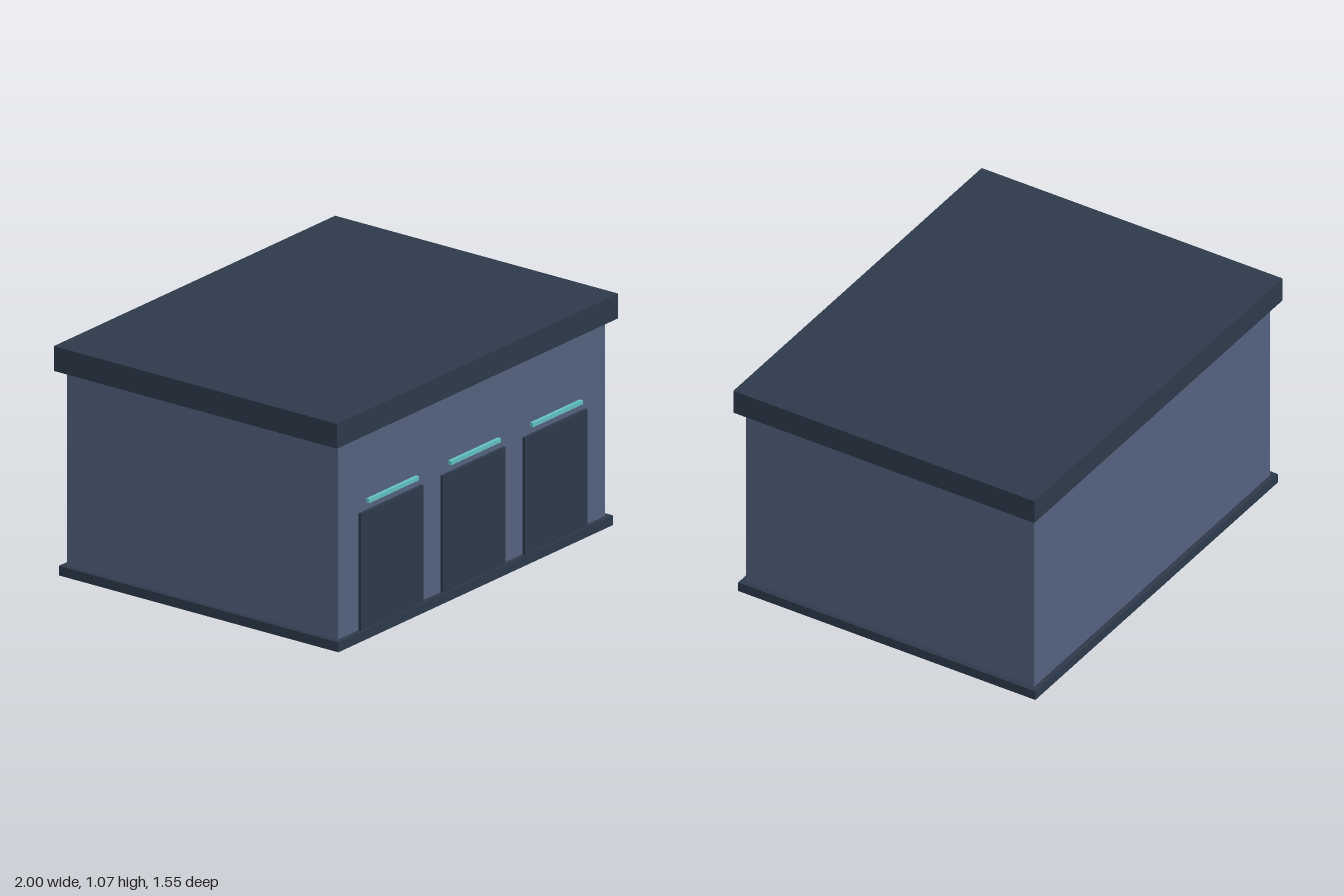
import * as THREE from 'three';

const material = (name, color) => {
  const m = new THREE.MeshStandardMaterial({ color });
  m.name = name;
  return m;
};

export function createModel() {
  const model = new THREE.Group();
  model.name = 'garage';

  const wallBlue = material('wall blue', 0x53607e);
  const darkSlate = material('dark slate', 0x2d3a4a);
  const lightTeal = material('light teal', 0x62c0c0);

  // Box spanning y0..y1 and z0..z1, centred on x
  const box = (name, mat, x, width, y0, y1, z0, z1) => {
    const mesh = new THREE.Mesh(new THREE.BoxGeometry(width, y1 - y0, z1 - z0), mat);
    mesh.position.set(x, (y0 + y1) / 2, (z0 + z1) / 2);
    mesh.name = name;
    model.add(mesh);
  };

  // Main building
  box('baseSlab', darkSlate, 0, 1.952, 0, 0.045, -0.765, 0.765);
  box('walls', wallBlue, 0, 1.9, 0.045, 0.955, -0.742, 0.742);
  box('roof', darkSlate, 0, 2, 0.955, 1.07, -0.775, 0.775);

  // Three bay doors, each with a light strip above
  ['right', 'middle', 'left'].forEach((side, i) => {
    const x = (i - 1) * 0.583;
    box(side + 'Door', darkSlate, x, 0.444, 0.045, 0.588, 0.742, 0.757);
    box(side + 'LightStrip', lightTeal, x, 0.354, 0.627, 0.646, 0.75, 0.767);
  });

  return model;
}
